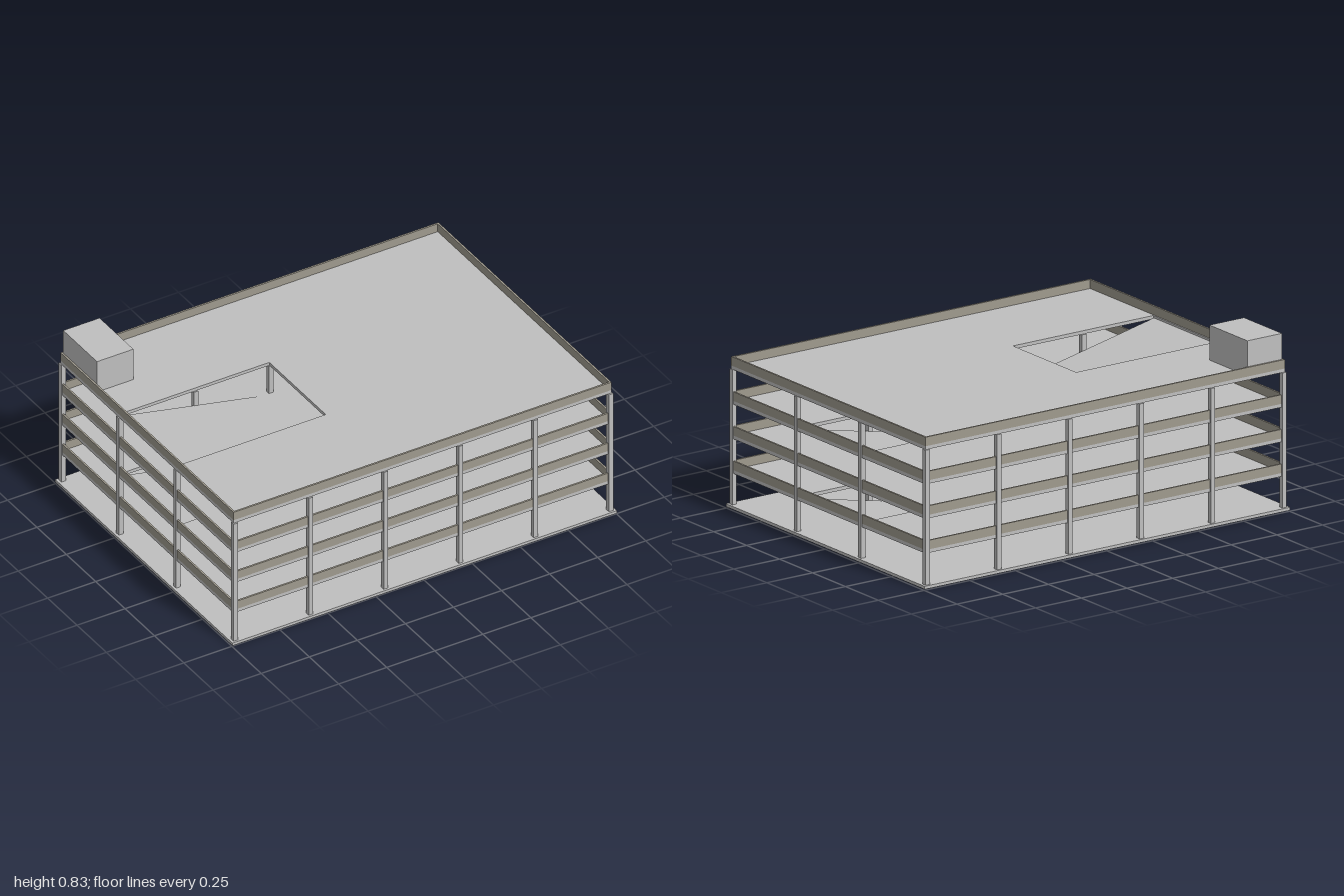
import * as THREE from 'three';

const W = 0.983, D = 0.737;           // half size of the decks
const STOREY = 0.161, GROUND = 0.02;  // floor to floor height, ground level
const DECK = 0.016;                   // deck thickness
const RAMP_IN = 0.2, RAMP_OUT = 0.968, RAMP_Z = 0.24;

export function createModel() {
  const concrete = new THREE.MeshStandardMaterial({ color: 0xbfbfbf });
  concrete.name = 'concrete';
  const panel = new THREE.MeshStandardMaterial({ color: 0x9f9a8e });
  panel.name = 'parapet panel';

  const model = new THREE.Group();
  model.name = 'parkingGarage';

  // Box given by its limits on each axis
  function box(parent, name, material, x0, x1, y0, y1, z0, z1) {
    const mesh = new THREE.Mesh(new THREE.BoxGeometry(x1 - x0, y1 - y0, z1 - z0), material);
    mesh.position.set((x0 + x1) / 2, (y0 + y1) / 2, (z0 + z1) / 2);
    mesh.name = name;
    parent.add(mesh);
  }

  // Deck with a ramp opening on one side (side = +1 or -1)
  function deck(parent, side, top) {
    const shape = new THREE.Shape([
      new THREE.Vector2(-W, -D), new THREE.Vector2(W, -D),
      new THREE.Vector2(W, D), new THREE.Vector2(-W, D),
    ]);
    shape.holes.push(new THREE.Path([
      new THREE.Vector2(side * RAMP_IN, -RAMP_Z), new THREE.Vector2(side * RAMP_IN, RAMP_Z),
      new THREE.Vector2(side * RAMP_OUT, RAMP_Z), new THREE.Vector2(side * RAMP_OUT, -RAMP_Z),
    ]));
    const geometry = new THREE.ExtrudeGeometry(shape, { depth: DECK, bevelEnabled: false });
    geometry.rotateX(-Math.PI / 2);
    const mesh = new THREE.Mesh(geometry, concrete);
    mesh.position.y = top - DECK;
    mesh.name = 'deck';
    parent.add(mesh);
  }

  // Low wall around the edge of a deck
  function parapet(parent, top) {
    const t = 0.009, y1 = top + 0.042;
    for (const s of [-1, 1]) {
      const z = s * (D - t / 2), x = s * (W - t / 2);
      box(parent, 'parapetLong', panel, -W, W, top, y1, z - t / 2, z + t / 2);
      box(parent, 'parapetShort', panel, x - t / 2, x + t / 2, top, y1, -D + t, D - t);
    }
  }

  // Sloping slab rising outwards from one level to the next
  function ramp(parent, side, floor) {
    const t = 0.01, y0 = floor - 0.01, y1 = y0 + STOREY;
    const shape = new THREE.Shape();
    const points = [[RAMP_IN, y0 - t], [RAMP_OUT, y1 - t], [RAMP_OUT, y1], [RAMP_IN, y0]];
    shape.setFromPoints(points.map(([x, y]) => new THREE.Vector2(side * x, y)));
    const half = 0.235;
    const geometry = new THREE.ExtrudeGeometry(shape, { depth: 2 * half, bevelEnabled: false });
    geometry.translate(0, 0, -half);
    const mesh = new THREE.Mesh(geometry, concrete);
    mesh.name = 'ramp';
    parent.add(mesh);
  }

  // Ground slab
  box(model, 'groundSlab', concrete, -1, 1, 0.006, GROUND, -0.755, 0.755);

  // Four levels, with ramps on alternating sides
  for (let i = 0; i < 4; i++) {
    const side = i % 2 ? -1 : 1;
    const floor = GROUND + i * STOREY;
    const level = new THREE.Group();
    level.name = i === 3 ? 'roofLevel' : 'level' + (i + 1);
    deck(level, side, floor + STOREY);
    parapet(level, floor + STOREY);
    ramp(level, side, floor);
    model.add(level);
  }

  // Column grid
  const columns = new THREE.Group();
  columns.name = 'columns';
  const columnTop = GROUND + 4 * STOREY - DECK, h = 0.0115;
  for (const x of [-0.976, -0.585, -0.195, 0.195, 0.585, 0.976]) {
    for (const z of [-0.733, -0.244, 0.244, 0.733]) {
      box(columns, 'column', concrete, x - h, x + h, GROUND, columnTop, z - h, z + h);
    }
  }
  model.add(columns);

  // Stair house on the roof corner
  box(model, 'stairHouse', concrete, -0.974, -0.785, GROUND + 4 * STOREY, 0.827, -0.728, -0.44);

  return model;
}
